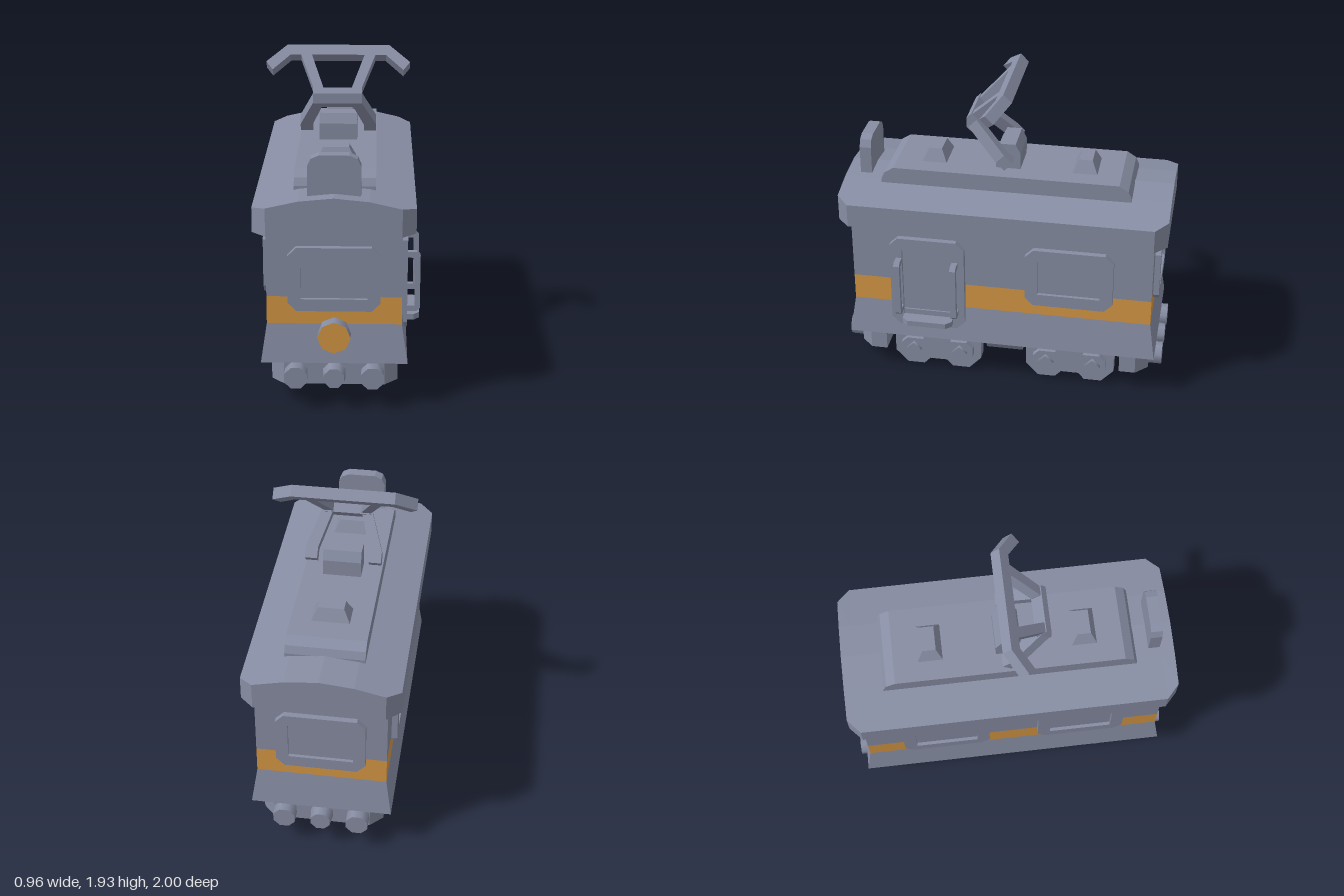
import * as THREE from 'three';

const paint = new THREE.MeshStandardMaterial({ color: 0x878da3 });
paint.name = 'greyPaint';
const orange = new THREE.MeshStandardMaterial({ color: 0xd49744 });
orange.name = 'orangePaint';
const dark = new THREE.MeshStandardMaterial({ color: 0x2c2c2e });
dark.name = 'darkMetal';

function add(parent, name, geometry, material = paint, x = 0, y = 0, z = 0) {
  const mesh = new THREE.Mesh(geometry, material);
  mesh.name = name;
  mesh.position.set(x, y, z);
  parent.add(mesh);
  return mesh;
}

function subgroup(parent, name, x = 0, y = 0, z = 0, turn = 0) {
  const g = new THREE.Group();
  g.name = name;
  g.position.set(x, y, z);
  g.rotation.y = turn;
  parent.add(g);
  return g;
}

const box = (w, h, d) => new THREE.BoxGeometry(w, h, d);
const outline = pts => new THREE.Shape(pts.map(p => new THREE.Vector2(p[0], p[1])));
const extrude = (shape, depth) => new THREE.ExtrudeGeometry(shape, { depth, bevelEnabled: false });

// Profile given as [z, y], extruded along x and centred on it
const crossPrism = (pts, width) =>
  extrude(outline(pts.map(([z, y]) => [-z, y])), width).translate(0, 0, -width / 2).rotateY(Math.PI / 2);

// Rectangle with cut corners
function cutRect(w, h, c) {
  const a = w / 2, b = h / 2;
  return [[a, c - b], [a, b - c], [a - c, b], [c - a, b], [-a, b - c], [-a, c - b], [c - a, -b], [a - c, -b]];
}

// Closed flat-shaded solid through rings of equal point count
function loft(rings) {
  const out = [], n = rings[0].length, last = rings[rings.length - 1];
  const tri = (...p) => p.forEach(v => out.push(...v));
  for (let k = 0; k + 1 < rings.length; k++)
    for (let i = 0; i < n; i++) {
      const j = (i + 1) % n, a = rings[k], b = rings[k + 1];
      tri(a[i], a[j], b[j]);
      tri(a[i], b[j], b[i]);
    }
  for (let i = 1; i + 1 < n; i++) {
    tri(rings[0][0], rings[0][i + 1], rings[0][i]);
    tri(last[0], last[i], last[i + 1]);
  }
  const g = new THREE.BufferGeometry();
  g.setAttribute('position', new THREE.Float32BufferAttribute(out, 3));
  g.computeVertexNormals();
  return g;
}

// Rectangular ring of half-width w and half-depth d at height y
const rect = (y, w, d) => [[w, y, d], [w, y, -d], [-w, y, -d], [-w, y, d]];

// Raised frame with a cut-out and a recessed pane, facing +z
function framedPanel(parent, name, w, h, holeW, holeH, holeY = 0) {
  const shape = outline(cutRect(w, h, 0.05));
  const a = holeW / 2, b = holeH / 2;
  shape.holes.push(outline([[-a, holeY - b], [-a, holeY + b], [a, holeY + b], [a, holeY - b]]));
  add(parent, name + 'Frame', extrude(shape, 0.045), paint, 0, 0, -0.01);
  add(parent, name + 'Pane', box(holeW, holeH, 0.02), paint, 0, holeY, 0.005);
}

export function createModel() {
  const model = new THREE.Group();
  model.name = 'tram';
  const tram = subgroup(model, 'tramBody', -0.02);

  // Body shell, painted band and flared skirt
  add(tram, 'skirt', loft([rect(0.28, 0.42, 0.955), rect(0.51, 0.385, 0.92)]));
  add(tram, 'band', box(0.77, 0.165, 1.84), orange, 0, 0.5925, 0);
  add(tram, 'upperBody', box(0.77, 0.395, 1.84), paint, 0, 0.8725, 0);

  // Arched roof with cut corners
  const arch = (z, w, edge) => [[-w, 1.06, z], [w, 1.06, z], [w, edge, z], [0.2, 1.265, z],
    [0, 1.285, z], [-0.2, 1.265, z], [-w, edge, z]];
  add(tram, 'roof', loft([arch(-0.995, 0.38, 1.224), arch(-0.92, 0.46, 1.205),
    arch(0.92, 0.46, 1.205), arch(0.995, 0.38, 1.224)]));
  add(tram, 'roofDeck', crossPrism([[0.76, 1.24], [0.76, 1.28], [0.74, 1.325], [0.685, 1.36],
    [-0.685, 1.36], [-0.74, 1.325], [-0.76, 1.28], [-0.76, 1.24]], 0.465));
  for (const z of [0.455, -0.465])
    add(tram, 'roofVent', loft([rect(1.355, 0.115, 0.077), rect(1.435, 0.075, 0.04)]), paint, 0, 0, z);
  add(tram, 'headBoard', extrude(outline([[-0.15, 1.24], [0.15, 1.24], [0.15, 1.44], [0.13, 1.485],
    [0.085, 1.505], [-0.085, 1.505], [-0.13, 1.485], [-0.15, 1.44]]), 0.07), paint, 0, 0, 0.84);

  // Folding current collector
  const collector = subgroup(tram, 'collector');
  add(collector, 'collectorBase', crossPrism([[0.075, 1.35], [0.075, 1.46], [0.045, 1.52],
    [-0.045, 1.52], [-0.075, 1.46], [-0.075, 1.35]], 0.23));
  add(collector, 'elbowBar', crossPrism([[0.245, 1.63], [0.245, 1.69], [0.215, 1.72],
    [0.155, 1.66], [0.215, 1.6]], 0.29));
  const slab = (name, pts, frontY, tilt) => {
    const shape = outline(pts.map(([x, y]) => [x, (y - frontY) * Math.SQRT2]));
    const g = extrude(shape, 0.07).translate(0, 0, -0.035).rotateX(tilt);
    add(collector, name, g, paint, 0, 1.66, 0.215);
  };
  const up = -Math.PI / 4;
  slab('contactBar', [[-0.43, 1.845], [-0.39, 1.805], [-0.285, 1.88], [0.285, 1.88],
    [0.39, 1.805], [0.43, 1.845], [0.305, 1.93], [-0.305, 1.93]], 1.685, up);
  for (const s of [-1, 1]) {
    slab('upperArm', [[s * 0.135, 1.69], [s * 0.145, 1.72], [s * 0.225, 1.885],
      [s * 0.16, 1.885], [s * 0.085, 1.72], [s * 0.085, 1.69]], 1.685, up);
    slab('lowerArm', [[s * 0.23, 1.4], [s * 0.23, 1.45], [s * 0.145, 1.63],
      [s * 0.08, 1.63], [s * 0.155, 1.45], [s * 0.155, 1.4]], 1.635, -up);
  }

  // Windows: one at each end, two on the right side, one beside the door
  const half = Math.PI / 2;
  framedPanel(subgroup(tram, 'frontWindow', 0, 0.79, 0.92), 'window', 0.525, 0.38, 0.38, 0.235);
  framedPanel(subgroup(tram, 'backWindow', 0, 0.79, -0.92, Math.PI), 'window', 0.525, 0.38, 0.38, 0.235);
  for (const [x, z] of [[0.385, -0.42], [-0.385, -0.42], [-0.385, 0.42]])
    framedPanel(subgroup(tram, 'sideWindow', x, 0.788, z, Math.sign(x) * half), 'window', 0.535, 0.385, 0.38, 0.23);

  // Door with step and two grab rails
  const door = subgroup(tram, 'door', 0.385, 0.675, 0.45, half);
  framedPanel(door, 'door', 0.46, 0.61, 0.31, 0.5, -0.02);
  add(door, 'doorSill', box(0.31, 0.07, 0.02), paint, 0, -0.235, 0.015);
  add(door, 'step', loft([-0.27, -0.235].map(y => [[0.12, y, 0.108], [0.155, y, 0.075],
    [0.155, y, 0], [-0.155, y, 0], [-0.155, y, 0.075], [-0.12, y, 0.108]])));
  for (const s of [-1, 1]) {
    const rail = outline([[0, -0.2], [0.09, -0.2], [0.11, -0.18], [0.11, 0.15], [0.09, 0.17], [0, 0.17]]);
    rail.holes.push(outline([[0, -0.165], [0, 0.135], [0.075, 0.135], [0.075, -0.165]].map(([x, y]) => [x + 0.003, y])));
    add(door, 'grabRail', extrude(rail, 0.036).translate(0, 0, -0.018).rotateY(-half), paint, s * 0.173, 0, 0);
  }

  // Headlamp with painted face
  add(tram, 'headlamp', new THREE.CylinderGeometry(0.095, 0.095, 0.11, 8).rotateX(half),
    [paint, orange, paint], 0, 0.455, 0.945);

  // End beams with three buffers each
  for (const turn of [0, Math.PI]) {
    const end = subgroup(tram, 'endBeam', 0, 0, 0, turn);
    add(end, 'beam', loft([0.13, 0.285].map(y => [[0.29, y, 0.915], [0.365, y, 0.84], [0.365, y, 0.74],
      [-0.365, y, 0.74], [-0.365, y, 0.84], [-0.29, y, 0.915]])));
    for (const x of [-0.22, 0, 0.22])
      add(end, 'buffer', new THREE.CylinderGeometry(x ? 0.07 : 0.062, x ? 0.07 : 0.076, 0.13, 8, 1, false, Math.PI / 8)
        .rotateX(half), paint, x, 0.2, 0.93);
  }
  add(tram, 'equipmentBox', loft([rect(0.13, 0.24, 0.115), rect(0.285, 0.36, 0.115)]));

  // Two bogies: dark motor drum, wheels, side frames and diamond axle caps
  for (const z of [0.42, -0.425]) {
    const bogie = subgroup(tram, 'bogie', 0, 0, z);
    add(bogie, 'motorDrum', new THREE.CylinderGeometry(0.17, 0.17, 0.5, 16).rotateZ(half), dark, 0, 0.23, 0);
    for (const s of [-1, 1]) {
      add(bogie, 'sideFrame', crossPrism([[-0.19, 0.07], [-0.23, 0.11], [-0.23, 0.17], [-0.19, 0.21],
        [-0.085, 0.21], [-0.085, 0.285], [0.085, 0.285], [0.085, 0.21], [0.19, 0.21],
        [0.23, 0.17], [0.23, 0.11], [0.19, 0.07]], 0.045), paint, s * 0.322, 0, 0);
      for (const dz of [-0.147, 0.147]) {
        add(bogie, 'wheel', new THREE.CylinderGeometry(0.15, 0.15, 0.075, 8, 1, false, Math.PI / 8)
          .rotateZ(half).scale(1, 0.14 / (0.15 * Math.cos(Math.PI / 8)), 0.94), paint, s * 0.268, 0.14, dz);
        add(bogie, 'axleCap', new THREE.CylinderGeometry(0.05, 0.05, 0.05, 4).rotateZ(half),
          paint, s * 0.343, 0.14, dz);
      }
    }
  }
  return model;
}
